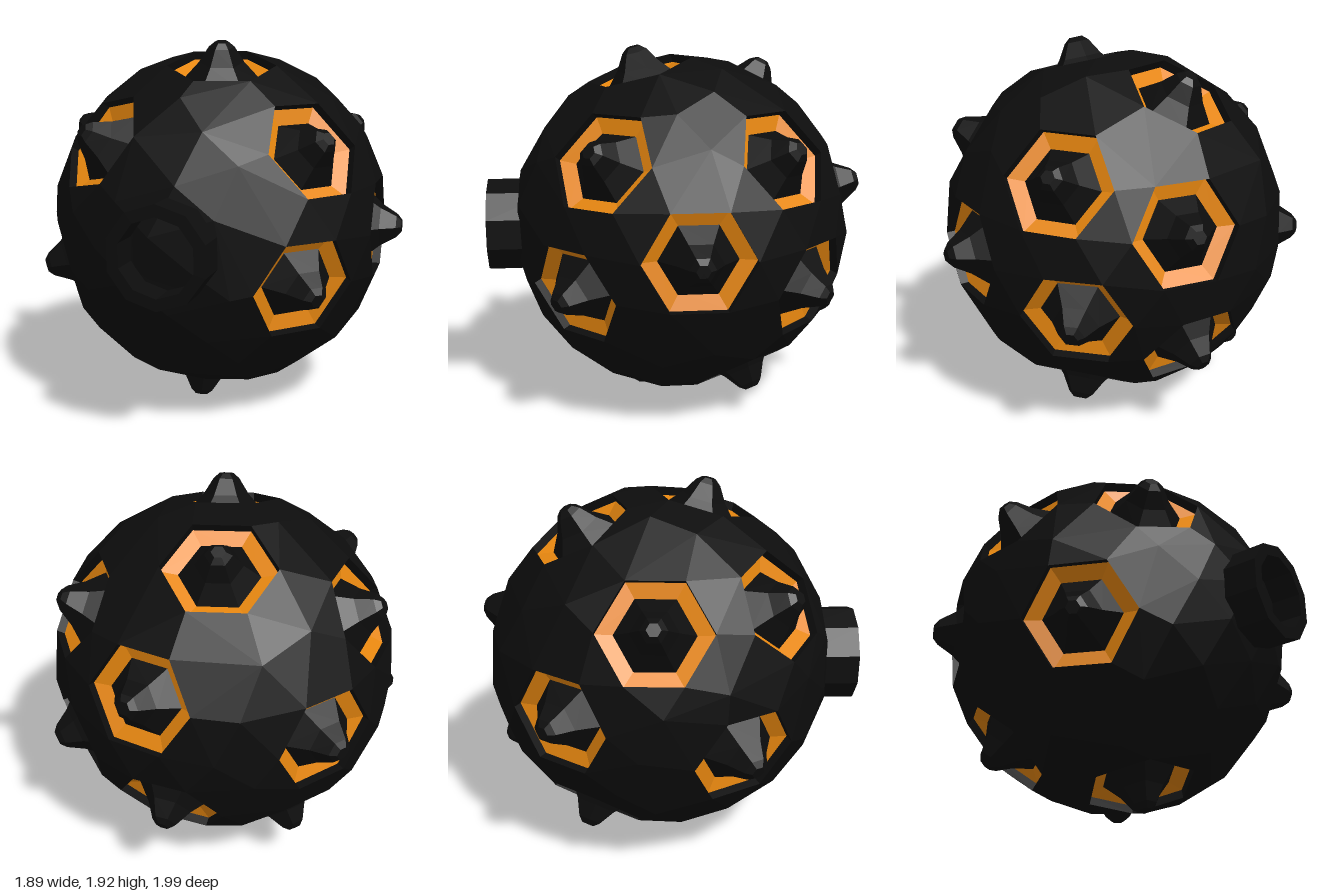
import * as THREE from 'three';
import { ConvexGeometry } from 'three/addons/geometries/ConvexGeometry.js';

const RIM = 0.28;      // corner radius of each hexagonal recess
const RIM_HEIGHT = 0.86; // distance of the recess mouth from the ball centre
const BALL = 0.91;

// direction of each spike, and twist of its hexagon in degrees
const SPIKES = [
  [1, 0, 0], [0.69, 0.51, 0.51], [0.69, 0.51, -0.51], [0.69, -0.25, 0.69], [0.69, -0.25, -0.69],
  [0.08, 0.96, 0.26], [-0.14, 0.87, -0.47],
  [-0.53, 0.53, 0.66, 12], [-0.86, -0.24, 0.45], [-0.85, 0.51, -0.05], [-0.81, -0.03, -0.58],
  [0.15, 0.25, -0.96], [0.02, -0.51, -0.86], [0.43, -0.83, -0.34], [-0.55, -0.73, -0.4],
  [-0.05, -0.97, 0.23],
];

// frame with local y along the spike and one hexagon corner on local z
function spikeFrame([x, y, z, twist = 0]) {
  const n = new THREE.Vector3(x, y, z).normalize();
  const h = new THREE.Vector3(0, 1, 0).cross(n).normalize();
  h.applyAxisAngle(n, THREE.MathUtils.degToRad(twist));
  const v = n.clone().cross(h);
  return { n, matrix: new THREE.Matrix4().makeBasis(v, n, h) };
}

// faceted ball: hull of recess corners and filler points, with the mouths left open
function ballGeometry(frames) {
  const points = [];
  for (const { matrix } of frames) {
    for (let k = 0; k < 6; k++) {
      const a = (k * Math.PI) / 3;
      points.push(new THREE.Vector3(RIM * Math.sin(a), RIM_HEIGHT, RIM * Math.cos(a)).applyMatrix4(matrix));
    }
  }
  const count = 160;
  for (let i = 0; i < count; i++) {
    const y = 1 - (2 * i + 1) / count, r = Math.sqrt(1 - y * y), a = i * 2.399963;
    const p = new THREE.Vector3(r * Math.cos(a), y, r * Math.sin(a));
    if (frames.every(({ n }) => n.dot(p) < 0.91)) points.push(p.multiplyScalar(BALL));
  }
  const hull = new ConvexGeometry(points).getAttribute('position');
  const kept = [];
  for (let i = 0; i < hull.count; i += 3) {
    const tri = [0, 1, 2].map((k) => new THREE.Vector3().fromBufferAttribute(hull, i + k));
    const isMouth = frames.some(({ n }) => tri.every((p) => Math.abs(p.dot(n) - RIM_HEIGHT) < 0.001));
    if (!isMouth) tri.forEach((p) => kept.push(p.x, p.y, p.z));
  }
  const geometry = new THREE.BufferGeometry();
  geometry.setAttribute('position', new THREE.Float32BufferAttribute(kept, 3));
  geometry.computeVertexNormals();
  return geometry;
}

const lathe = (profile, sides) =>
  new THREE.LatheGeometry(profile.map(([r, y]) => new THREE.Vector2(r, y)), sides);

export function createModel() {
  const black = new THREE.MeshStandardMaterial({ color: 0x0d0d0d, flatShading: true });
  const orange = new THREE.MeshStandardMaterial({ color: 0xe6860f, flatShading: true });
  const model = new THREE.Group();
  model.name = 'spikedBall';
  model.position.set(-0.045, 0.95, -0.035);

  const add = (parent, name, geometry, material) => {
    const mesh = new THREE.Mesh(geometry, material);
    mesh.name = name;
    parent.add(mesh);
    return mesh;
  };

  const frames = SPIKES.map(spikeFrame);
  add(model, 'ball', ballGeometry(frames), black);

  // each recess: black wall, sloping orange floor, six-sided spike
  const wall = lathe([[RIM, RIM_HEIGHT], [RIM, 0.815]], 6);
  const floor = lathe([[RIM, 0.815], [0.18, 0.785]], 6);
  const spike = lathe([[0.2, 0.785], [0.115, 0.88], [0.065, 0.96], [0.035, 0.985], [0, 0.985]], 6);
  for (const { matrix } of frames) {
    const group = new THREE.Group();
    group.name = 'spikeSocket';
    group.quaternion.setFromRotationMatrix(matrix);
    add(group, 'socketWall', wall, black);
    add(group, 'socketFloor', floor, orange);
    add(group, 'spike', spike, black);
    model.add(group);
  }

  // ten-sided hollow neck at the front
  const neck = add(model, 'neck',
    lathe([[0.25, 0.7], [0.25, 1.035], [0.19, 1.035], [0.19, 0.88], [0, 0.88]], 10), black);
  neck.rotation.x = Math.PI / 2;

  const root = new THREE.Group();
  root.add(model);
  return root;
}
